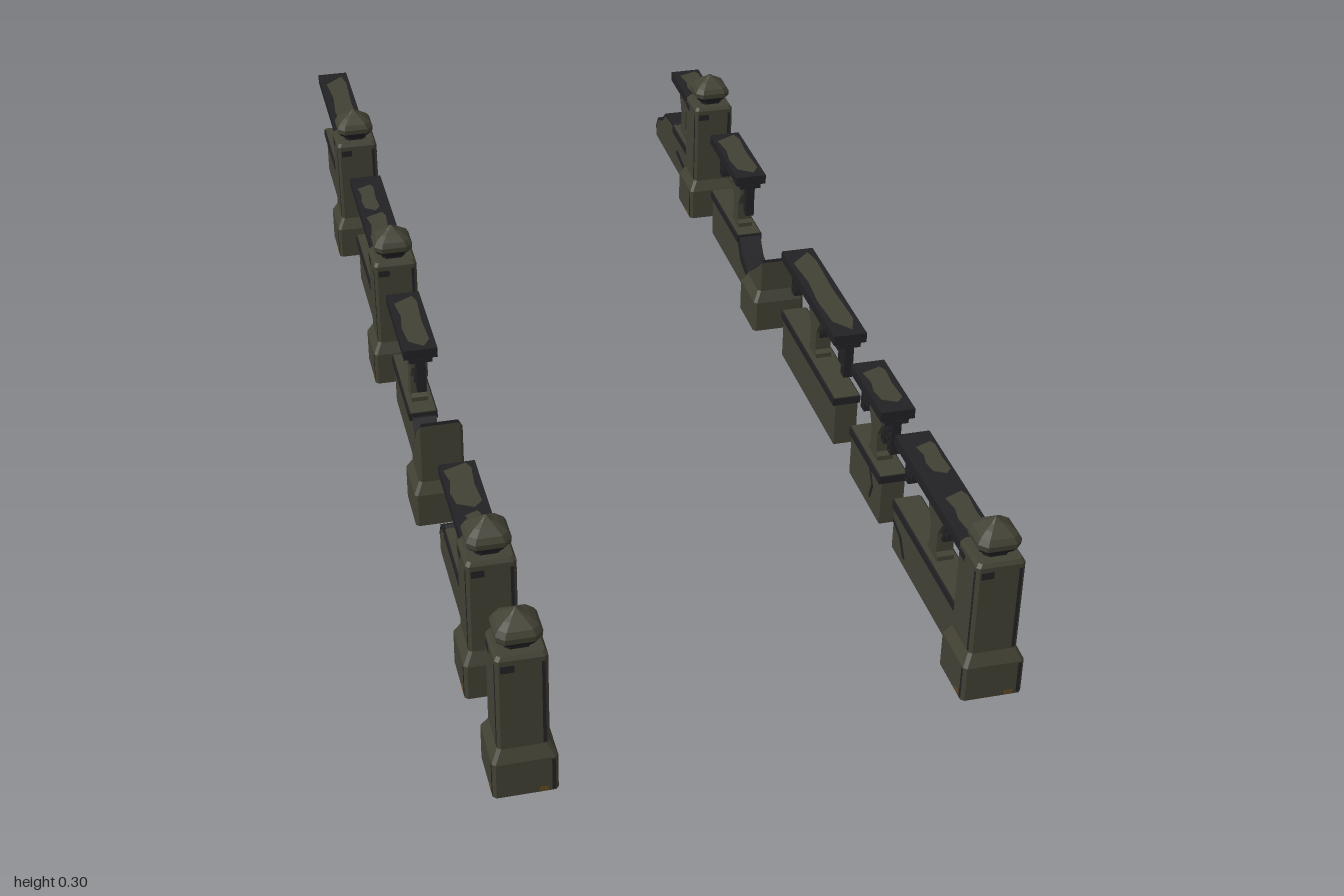
import * as THREE from 'three';

const material = (name, color, side = THREE.FrontSide) => {
  const m = new THREE.MeshStandardMaterial({ color, side });
  m.name = name;
  return m;
};
const stone = material('olive stone', 0x424134, THREE.DoubleSide);
const dark = material('weathered dark stone', 0x222225);
const earth = material('brown earth', 0x66481f);

function add(group, name, geo, mat) {
  const m = new THREE.Mesh(geo, mat);
  m.name = name;
  group.add(m);
  return m;
}

// Chamfered square rings joined up, closed on top, open below; rows are [y, half width, chamfer]
function loft(rows, clip = (x, y, z) => y) {
  const rings = rows.map(([y, a, c]) => {
    const b = a - c;
    return [[a, b], [b, a], [-b, a], [-a, b], [-a, -b], [-b, -a], [b, -a], [a, -b]]
      .map(([x, z]) => new THREE.Vector3(x, clip(x, y, z), z));
  });
  const pos = [];
  const tri = (...p) => p.forEach(v => pos.push(v.x, v.y, v.z));
  for (let r = 0; r + 1 < rings.length; r++) {
    for (let i = 0; i < 8; i++) {
      const j = (i + 1) % 8, A = rings[r], B = rings[r + 1];
      tri(A[i], B[i], B[j]);
      tri(A[i], B[j], A[j]);
    }
  }
  const hi = rings[rings.length - 1];
  for (let i = 1; i < 7; i++) tri(hi[0], hi[i + 1], hi[i]);
  const g = new THREE.BufferGeometry();
  g.setAttribute('position', new THREE.Float32BufferAttribute(pos, 3));
  g.computeVertexNormals();
  return g;
}

// Upright slab: outline in (z, y), thickness across x
function slab(pts, thick, holes = []) {
  const vec = list => list.map(p => new THREE.Vector2(p[0], p[1]));
  const s = new THREE.Shape(vec(pts));
  holes.forEach(h => s.holes.push(new THREE.Path(vec(h))));
  const g = new THREE.ExtrudeGeometry(s, { depth: thick, bevelEnabled: false });
  return g.rotateY(-Math.PI / 2).translate(thick / 2, 0, 0);
}
const rect = (z0, z1, y0, y1) => [[z0, y0], [z1, y0], [z1, y1], [z0, y1]];

const POST = [[0, .048, .005], [.06, .048, .005], [.08, .038, .005], [.23, .038, .005]];

function post(x, z) {
  const g = new THREE.Group();
  g.name = 'post';
  add(g, 'postShaft', loft(POST), stone);
  add(g, 'postCap', loft([[.23, .038, .005], [.235, .038, .005], [.241, .034, .005]]), stone);
  add(g, 'collar', loft([[.241, .02, .007], [.246, .021, .008], [.252, .028, .01], [.259, .033, .011]]), dark);
  add(g, 'finial', loft([[.259, .033, .011], [.268, .034, .012], [.277, .029, .01],
    [.285, .019, .007], [.291, .009, .003], [.298, .001, .0003]]), stone);
  // Worn dark edges, a corner stain and a trace of earth on every side
  const marks = [
    ['wornEdge', .005, .145, .0305, .155, .038, dark],
    ['footEdge', .005, .055, .0405, .03, .048, dark],
    ['cornerStain', .02, .012, -.021, .221, .038, dark],
    ['earthStain', .012, .007, .026, .005, .048, earth],
  ];
  for (let i = 0; i < 4; i++) {
    for (const [name, w, h, px, py, pz, mat] of marks) {
      add(g, name, new THREE.BoxGeometry(w, h, .001).translate(px, py, pz).rotateY(i * Math.PI / 2), mat);
    }
  }
  g.position.set(x, 0, z);
  return g;
}

// Post snapped along a slope, with a dark broken face
function brokenPost(x, z, mid, slope) {
  const g = new THREE.Group();
  g.name = 'brokenPost';
  const cut = (px, pz) => Math.max(.081, mid + slope * pz - Math.abs(px) * .7);
  add(g, 'brokenShaft', loft(POST, (px, y, pz) => Math.min(y, cut(px, pz))), stone);
  add(g, 'breakFace', loft([[0, .0385, .005], [.004, .038, .008]],
    (px, y, pz) => cut(px, pz) + y), dark);
  g.position.set(x, 0, z);
  return g;
}

// Stepped lattice arches hanging below the rail
function frieze(r0, r1, mid) {
  const cell = .0165, top = .2;
  const n = Math.round((r1 - r0) / cell), w = (r1 - r0) / n;
  const outline = [[r1, top], [r0, top]], holes = [];
  for (let i = 0; i < n; i++) {
    const z = r0 + i * w, c = z + w / 2;
    const d = Math.min(...[r0, mid, r1].map(e => Math.abs(c - e)));
    const rows = d < .022 ? 4 : d < .038 ? 3 : 2;
    outline.push([z, top - rows * cell], [z + w, top - rows * cell]);
    for (let k = 0; k < rows; k++) {
      const y = top - (k + 1) * cell;
      holes.push(rect(z + w * .26, z + w * .74, y + cell * .26, y + cell * .74));
    }
  }
  const clean = outline.filter((p, i) => i === 0 || p[0] !== outline[i - 1][0] || p[1] !== outline[i - 1][1]);
  return slab(clean, .016, holes);
}

// Thin jagged patch lying on a ledge: z from a to b, centre and half width across x
function wornPatch([a, b, c = 0, h = .021], y) {
  const m = (a + b) / 2, q = (b - a) * .12;
  const pts = [[a, -h * .7], [a + q, -h], [m, -h * .85], [b - q, -h], [b, -h * .4],
    [b - q, h * .8], [m + q, h], [m - q, h * .75], [a + q, h]];
  return slab(pts, .002).rotateZ(Math.PI / 2).translate(c, y, 0);
}

// One balustrade bay: wall z0..z1, rail r0..r1, broken wall top line, dark stains and worn rail patches
function bay(x, z0, z1, { r0 = z0, r1 = z1, mid = (z0 + z1) / 2, top, stains = [], worn }) {
  const g = new THREE.Group();
  g.name = 'balustradeBay';
  const edge = top || [[z0, .08], [z1, .08]];
  add(g, 'baseWall', slab([[z0, 0], [z1, 0], ...edge.slice().reverse()], .04), stone);
  if (top) {
    const raised = top.map(([z, y]) => [z, y + .003]).reverse();
    add(g, 'breakEdge', slab([...top.map(([z, y]) => [z, y - .003]), ...raised], .041), dark);
  }
  add(g, 'wallCap', slab(rect(r0, r1, .08, .094), .049), dark);
  add(g, 'wallCapTop', slab(rect(r0, r1, .094, .096), .044), stone);
  add(g, 'handrail', slab(rect(r0, r1, .202, .22), .058), dark);
  add(g, 'railMoulding', slab(rect(r0 + .003, r1 - .003, .192, .202), .04), dark);
  add(g, 'lattice', frieze(r0 + .002, r1 - .002, mid), dark);
  // Baluster flaring at foot and head
  const half = [[.021, .094], [.021, .104], [.015, .11], [.015, .145], [.021, .155], [.03, .17], [.03, .195]];
  add(g, 'baluster', slab([...half.map(([d, y]) => [mid + d, y]),
    ...half.slice().reverse().map(([d, y]) => [mid - d, y])], .028), stone);
  worn.forEach(p => add(g, 'wornPatch', wornPatch(p, .22), stone));
  stains.forEach(s => add(g, 'wallStain', slab(s, .042), dark));
  g.position.x = x;
  return g;
}

export function createModel() {
  const root = new THREE.Group();
  root.name = 'ruinedBalustrade';
  const L = .36, R = -.36;

  // Row on the -x side
  root.add(post(R, .952), post(R, .73), post(R, -.175), post(R, -.66));
  root.add(brokenPost(R, .278, .16, 1.35));
  root.add(bay(R, -1, -.69, { worn: [[-.98, -.72, .002, .02]] }));
  root.add(bay(R, -.52, -.21, { worn: [[-.485, -.38, -.006, .015], [-.37, -.25, -.003, .018]] }));
  root.add(bay(R, -.065, .24, {
    r1: .13, mid: .075, worn: [[-.05, .12, 0, .02]],
    top: [[-.065, .08], [.12, .08], [.14, .088], [.165, .06], [.19, .05], [.21, .03], [.24, .045]],
  }));
  root.add(bay(R, .4, .7, {
    r0: .475, mid: .55, worn: [[.48, .6, -.002, .022], [.61, .68, 0, .012]],
    top: [[.4, .035], [.415, .06], [.44, .066], [.46, .09], [.48, .08], [.7, .08]],
  }));

  // Row on the +x side
  root.add(post(L, .905), post(L, -.655));
  root.add(brokenPost(L, -.195, .125, 1.0));
  root.add(bay(L, .56, .87, {
    worn: [[.59, .68, .008, .016], [.73, .84, .006, .018]],
    stains: [[[.56, .05], [.59, .04], [.61, .015], [.62, .015], [.6, .046], [.56, .058]]],
  }));
  root.add(bay(L, .34, .495, {
    mid: .43, worn: [[.36, .47, 0, .02]],
    stains: [[[.43, .08], [.45, .05], [.44, .02], [.446, .02], [.457, .05], [.44, .08]]],
  }));
  root.add(bay(L, -.055, .252, { worn: [[-.04, .235, 0, .021]] }));
  root.add(bay(L, -.54, -.23, {
    r1: -.35, mid: -.4, worn: [[-.53, -.365, 0, .022]],
    top: [[-.54, .08], [-.36, .08], [-.345, .09], [-.32, .06], [-.29, .05], [-.26, .028], [-.23, .045]],
    stains: [[[-.36, .08], [-.345, .088], [-.32, .058], [-.29, .048], [-.26, .027], [-.27, .02],
      [-.3, .036], [-.335, .045]]],
  }));
  root.add(bay(L, -1, -.69, {
    r0: -.845, mid: -.8, worn: [[-.835, -.72, .004, .02]],
    top: [[-1, .02], [-.985, .045], [-.95, .06], [-.92, .085], [-.86, .09], [-.84, .08], [-.69, .08]],
    stains: [[[-.83, .038], [-.77, .03], [-.72, .004], [-.7, .004], [-.765, .04], [-.82, .05]]],
  }));
  return root;
}
